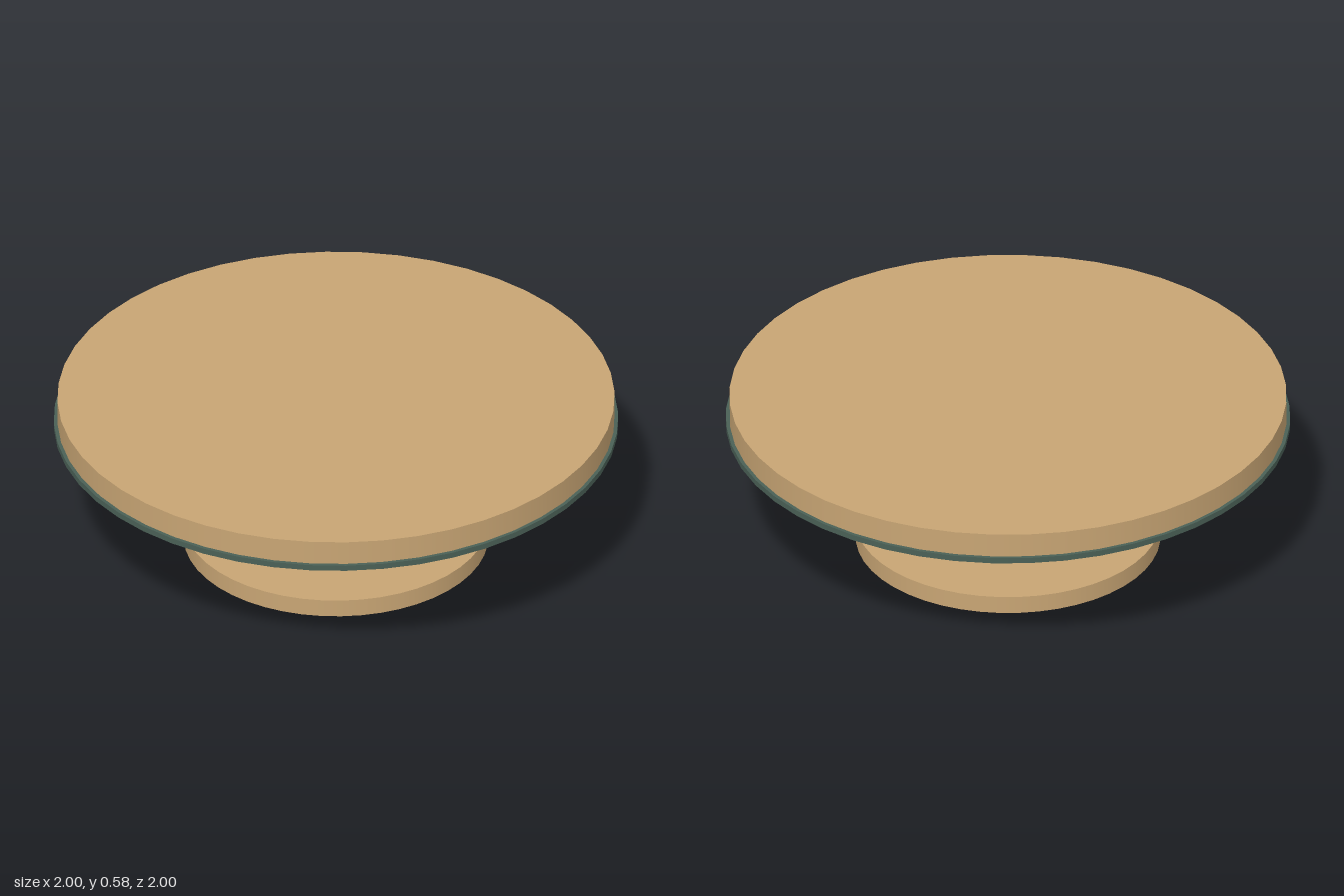
import * as THREE from 'three';

export function createModel() {
  const model = new THREE.Group();
  model.name = 'pedestalTable';

  const wood = new THREE.MeshStandardMaterial({ color: 0xc8a574 });
  wood.name = 'wood';
  const darkGreen = new THREE.MeshStandardMaterial({ color: 0x4a6056 });
  darkGreen.name = 'dark green';

  // Upright round part between two heights
  function disc(name, radius, bottom, top, material) {
    const geometry = new THREE.CylinderGeometry(radius, radius, top - bottom, 48);
    const mesh = new THREE.Mesh(geometry, material);
    mesh.name = name;
    mesh.position.y = (bottom + top) / 2;
    model.add(mesh);
  }

  disc('base', 0.54, 0, 0.065, wood);
  disc('column', 0.153, 0.065, 0.47, wood);
  // Thin plate that stands slightly proud of the top
  disc('trimPlate', 1, 0.47, 0.491, darkGreen);
  disc('tableTop', 0.987, 0.491, 0.58, wood);

  return model;
}
